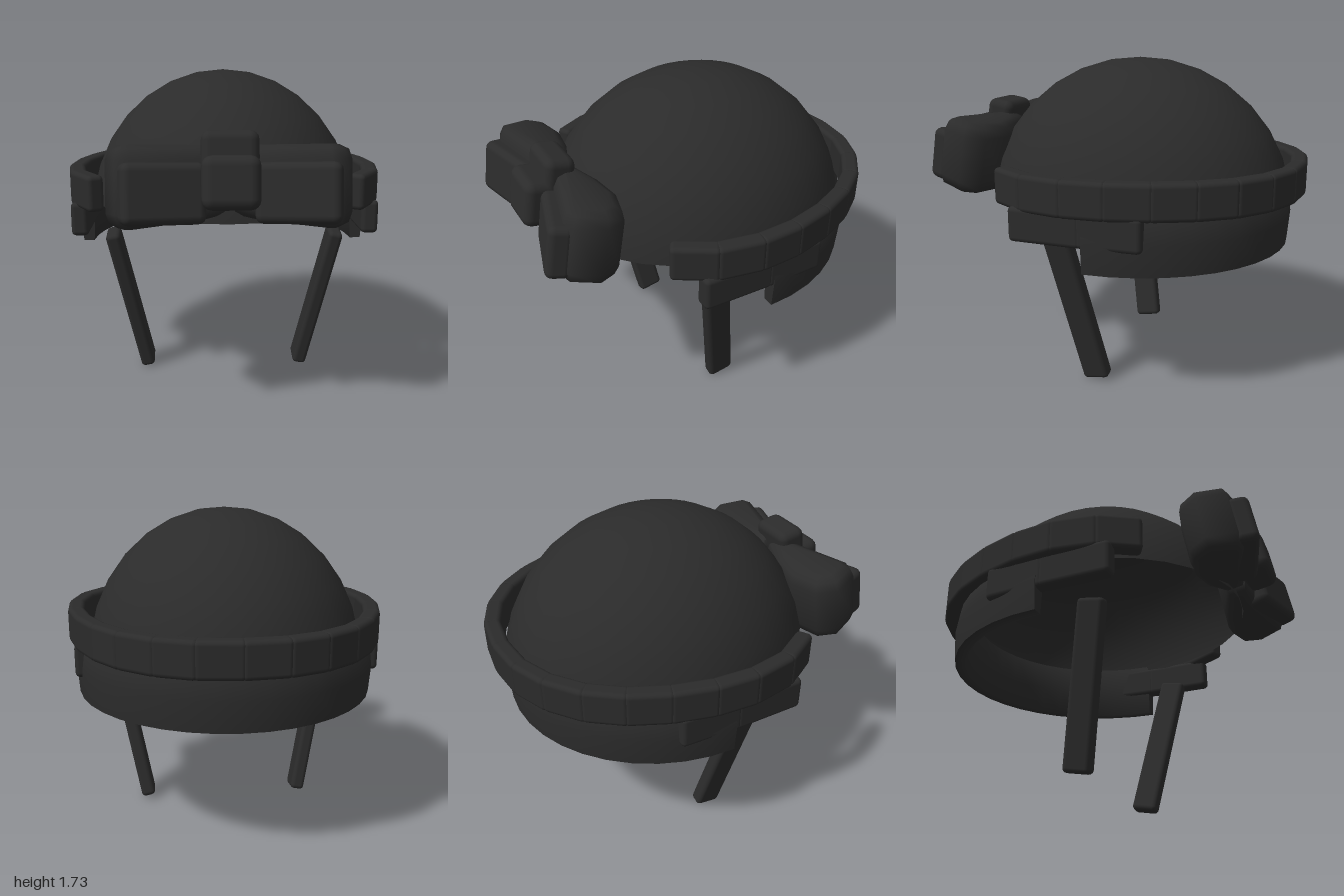
import * as THREE from 'three';
import { toCreasedNormals } from 'three/addons/utils/BufferGeometryUtils.js';
import { RoundedBoxGeometry } from 'three/addons/geometries/RoundedBoxGeometry.js';

export function createModel() {
  const model = new THREE.Group();
  model.name = 'helmet';
  const charcoal = new THREE.MeshStandardMaterial({ color: 0x2b2b2b, side: THREE.DoubleSide });
  charcoal.name = 'charcoal';

  const add = (parent, name, geometry, x = 0, y = 0, z = 0) => {
    const mesh = new THREE.Mesh(geometry, charcoal);
    mesh.name = name;
    mesh.position.set(x, y, z);
    parent.add(mesh);
    return mesh;
  };
  const block = (w, h, d, r) => new RoundedBoxGeometry(w, h, d, 2, r);

  // Open dome, cut a little above the ellipsoid's equator
  const dome = new THREE.SphereGeometry(1, 32, 7, 0, Math.PI * 2, 0, 1.403);
  dome.scale(0.76, 0.838, 0.857);
  add(model, 'dome', dome, 0, 0.9, -0.065);

  // Neck guard: soft-shaded half ring around the back with closed ends
  const profile = [[0.82, 0.75], [0.832, 0.91], [0.81, 1.07], [0.74, 1.07], [0.75, 0.91], [0.76, 0.75], [0.82, 0.75]]
    .map(([x, y]) => new THREE.Vector2(x, y));
  const guard = new THREE.Group();
  guard.name = 'neckGuard';
  guard.position.z = -0.05;
  guard.scale.z = 1.045;
  model.add(guard);
  add(guard, 'neckGuardShell', new THREE.LatheGeometry(profile, 20, Math.PI / 2, Math.PI));
  for (const side of [1, -1]) {
    const cap = new THREE.Shape(profile.map(p => new THREE.Vector2(p.x * side, p.y)));
    add(guard, 'neckGuardEnd', new THREE.ShapeGeometry(cap));
  }

  // Wall of blocks following a path of [x, z] points on one side
  const blockPath = (name, path, side, width, height, y, radius) => {
    for (let i = 0; i < path.length - 1; i++) {
      const [x0, z0] = path[i], [x1, z1] = path[i + 1];
      const length = Math.hypot(x1 - x0, z1 - z0) + 0.03;
      const piece = add(model, name, block(width, height, length, radius),
        side * (x0 + x1) / 2, y, (z0 + z1) / 2);
      piece.rotation.y = side * Math.atan2(x1 - x0, z1 - z0);
    }
  };

  // Segmented band, side plates and hanging straps, mirrored
  const bandPath = [[0, -0.953], [0.21, -0.93], [0.39, -0.855], [0.55, -0.73], [0.668, -0.57],
    [0.755, -0.38], [0.81, -0.17], [0.824, 0.04], [0.785, 0.26], [0.675, 0.445]];
  const platePath = [[0.77, -0.335], [0.782, -0.03], [0.78, 0.33]];
  for (const side of [1, -1]) {
    blockPath('bandSegment', bandPath, side, 0.09, 0.19, 1.125, 0.025);
    blockPath('sidePlate', platePath, side, 0.092, 0.18, 0.965, 0.025);

    const top = new THREE.Vector3(side * 0.625, 0.86, 0.17);
    const bottom = new THREE.Vector3(side * 0.45, 0.017, 0.02);
    const direction = top.clone().sub(bottom);
    const strap = add(model, 'strap', block(0.08, direction.length(), 0.148, 0.024));
    strap.position.addVectors(top, bottom).multiplyScalar(0.5);
    strap.quaternion.setFromUnitVectors(new THREE.Vector3(0, 1, 0), direction.normalize());
  }

  // Goggles, leaning back on the brow
  const goggles = new THREE.Group();
  goggles.name = 'goggles';
  goggles.position.set(0, 1.22, 0.76);
  goggles.rotation.x = -0.17;
  model.add(goggles);
  const outline = [[0.01, -0.07], [0.2, -0.14], [0.37, -0.165], [0.53, -0.125], [0.588, -0.02],
    [0.53, 0.13], [0.46, 0.15], [0.13, 0.07], [0.01, 0.04]];
  for (const side of [1, -1]) {
    // Chunky housing extruded upward with rounded rims
    const shape = new THREE.Shape(outline.map(([x, z]) => new THREE.Vector2(side * x, -z)));
    const housing = new THREE.ExtrudeGeometry(shape, {
      depth: 0.25, bevelEnabled: true, bevelSegments: 2,
      bevelThickness: 0.07, bevelSize: 0.055, bevelOffset: -0.055,
    });
    housing.rotateX(-Math.PI / 2);
    housing.translate(0, -0.125, 0);
    // Underside rises toward the nose
    const points = housing.attributes.position;
    for (let i = 0; i < points.count; i++) {
      const y = points.getY(i);
      if (y < 0) points.setY(i, y * Math.min(1, 0.65 + 1.2 * Math.abs(points.getX(i))));
    }
    add(goggles, 'goggleHousing', toCreasedNormals(housing, 1.1));

    // Raised lens, angled toward the middle
    const lens = add(goggles, 'goggleLens', block(0.4, 0.285, 0.13, 0.04), side * 0.313, -0.03, 0.118);
    lens.rotation.y = -side * 0.27;
  }
  // Centre bridge and mount
  add(goggles, 'upperMount', block(0.272, 0.29, 0.16, 0.045), 0, 0.115, 0.035);
  add(goggles, 'frontMount', block(0.272, 0.25, 0.17, 0.05), 0, 0.018, 0.125);

  return model;
}
